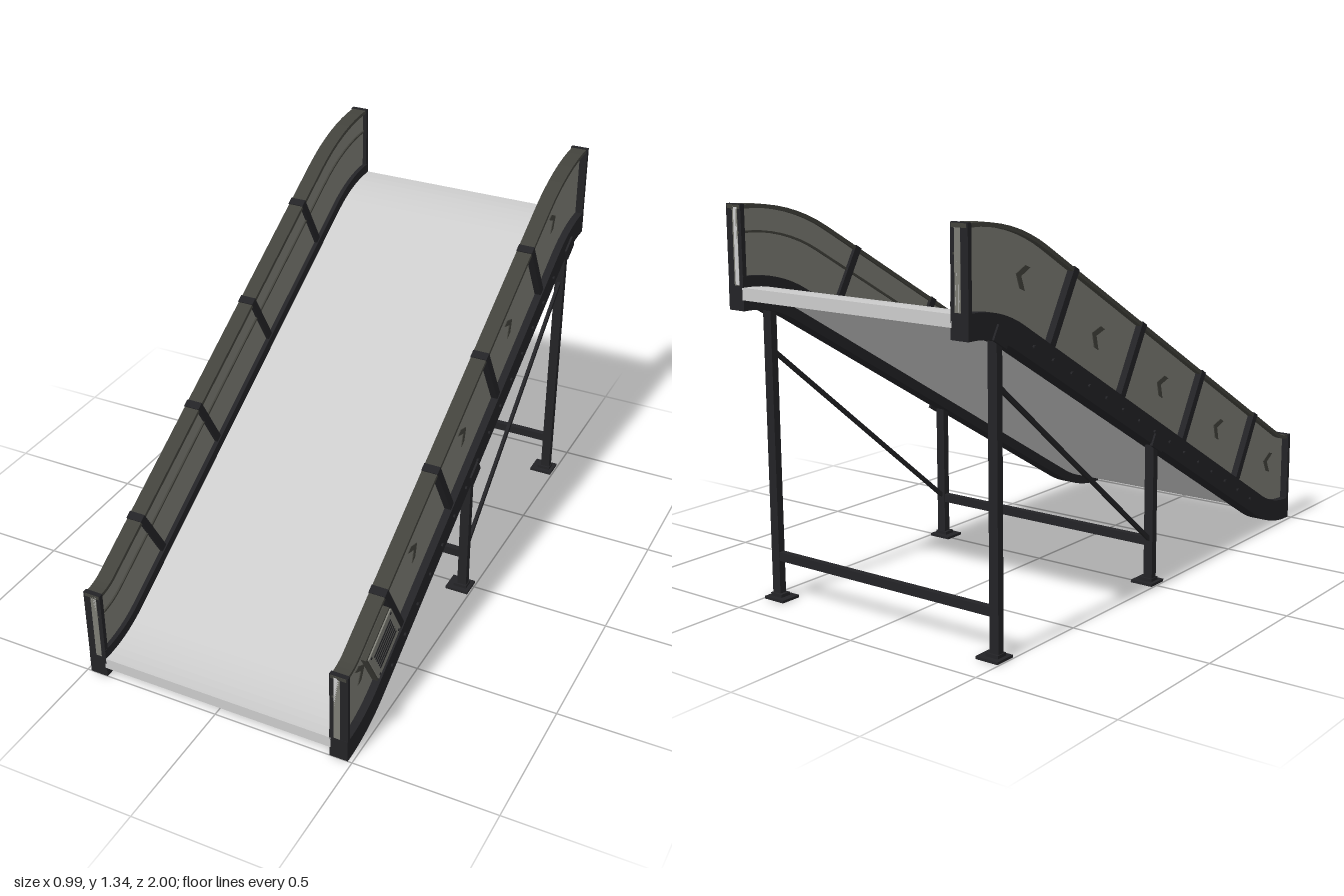
import * as THREE from 'three';

const mat = (color) => new THREE.MeshStandardMaterial({ color, flatShading: true });
const GREY = mat(0xcccccc), BLACK = mat(0x232326), PANEL = mat(0x7c7c74), TRIM = mat(0x42423c);
const SLOPE = Math.PI / 6, HEIGHT = 0.335;

// Lower edge of the side wall as [u, y, angle]; u runs up the incline (u = -z)
const path = [[-1, 0, 0]];
for (let i = 0; i <= 8; i++) {
  const a = SLOPE * i / 8;
  path.push([-0.99 + 0.5 * Math.sin(a), 0.5 - 0.5 * Math.cos(a), a]);
}
for (let i = 8; i >= 0; i--) {
  const a = SLOPE * i / 8;
  path.push([0.985 - 0.41 * Math.sin(a), 0.59 + 0.41 * Math.cos(a), a]);
}
path.push([1, 1, 0]);

const offset = ([u, y, a], n) => new THREE.Vector2(u - n * Math.sin(a), y + n * Math.cos(a));

// Point on the straight incline at base position u and distance n above the lower edge
const onIncline = (u, n) => offset([u, 0.495 + u * Math.tan(SLOPE), SLOPE], n);

function add(parent, name, geometry, material) {
  const mesh = new THREE.Mesh(geometry, material);
  mesh.name = name;
  parent.add(mesh);
  return mesh;
}

function box(parent, name, material, size, pos, tilt = 0) {
  const mesh = add(parent, name, new THREE.BoxGeometry(...size), material);
  mesh.position.set(...pos);
  mesh.rotation.x = tilt;
  return mesh;
}

// Band following the path between offsets n0..n1 and widths x0..x1
function band(parent, name, material, x0, x1, n0, n1) {
  const outline = [...path.map(p => offset(p, n0)), ...path.map(p => offset(p, n1)).reverse()];
  const g = new THREE.ExtrudeGeometry(new THREE.Shape(outline), { depth: x1 - x0, bevelEnabled: false });
  g.translate(0, 0, x0).rotateY(Math.PI / 2);
  return add(parent, name, g, material);
}

// Flat arrow pointing up the incline
function chevron(parent, x, u, y, tilt, side) {
  const s = new THREE.Shape([[-0.03, 0.036], [-0.004, 0.036], [0.03, 0], [-0.004, -0.036],
    [-0.03, -0.036], [0.004, 0]].map(p => new THREE.Vector2(...p)));
  const g = new THREE.ExtrudeGeometry(s, { depth: 0.003, bevelEnabled: false });
  g.rotateZ(tilt).rotateY(Math.PI / 2);
  add(parent, 'directionArrow', g, TRIM).position.set(side > 0 ? x : -x - 0.003, y, -u);
}

function createSide(side) {
  const g = new THREE.Group();
  g.name = side > 0 ? 'leftWall' : 'rightWall';
  const strip = (name, m, x0, x1, n0, n1) =>
    side > 0 ? band(g, name, m, x0, x1, n0, n1) : band(g, name, m, -x1, -x0, n0, n1);

  strip('bottomRail', BLACK, 0.42, 0.485, 0, 0.08);
  strip('innerSkirt', BLACK, 0.42, 0.436, 0.08, 0.11);
  strip('wallPanel', PANEL, 0.436, 0.458, 0.08, 0.322);
  strip('innerLedge', TRIM, 0.43, 0.436, 0.245, 0.252);
  strip('topCap', TRIM, 0.425, 0.48, 0.322, HEIGHT);

  // Joint ribs between panels
  for (let i = 0; i < 4; i++) {
    const u = -0.55 + i * 0.393;
    const p = onIncline(u, 0.21);
    box(g, 'jointRib', BLACK, [0.058, 0.256, 0.028], [side * 0.453, p.y, -p.x], SLOPE);
  }

  // End posts with a pale panel edge
  for (const [z, y] of [[0.991, 0], [-0.991, 1]]) {
    box(g, 'endPost', BLACK, [0.064, 0.335, 0.016], [side * 0.453, y + 0.1695, z]);
    box(g, 'panelEdge', GREY, [0.016, 0.245, 0.002], [side * 0.445, y + 0.205, z + Math.sign(z) * 0.008]);
  }

  // Direction arrows, one per panel
  for (let i = 0; i < 3; i++) {
    const p = onIncline(-0.365 + i * 0.393, 0.205);
    chevron(g, 0.458, p.x, p.y, SLOPE, side);
  }
  chevron(g, 0.458, 0.716, 1.153, 0.4, side);
  chevron(g, 0.458, -0.86, 0.25, 0.3, side);

  // Rail bolts
  for (let i = 0; i < 15; i++) {
    const p = onIncline(-0.66 + i * 0.098, 0.04);
    const bolt = add(g, 'railBolt', new THREE.CylinderGeometry(0.006, 0.006, 0.008, 6), BLACK);
    bolt.rotation.z = Math.PI / 2;
    bolt.position.set(side * 0.488, p.y, -p.x);
  }
  return g;
}

// Louvred box on the outside of one wall
function createVent() {
  const g = new THREE.Group();
  g.name = 'ventBox';
  box(g, 'ventPlate', TRIM, [0.02, 0.17, 0.2], [0, 0, 0]);
  box(g, 'ventCover', PANEL, [0.026, 0.155, 0.185], [0.002, 0, 0]);
  for (let i = 0; i < 6; i++) {
    box(g, 'ventSlot', BLACK, [0.004, 0.008, 0.135], [0.015, -0.045 + i * 0.018, 0]);
  }
  for (const y of [-0.066, 0.066]) for (const z of [-0.08, 0.08]) {
    box(g, 'ventScrew', BLACK, [0.004, 0.008, 0.008], [0.015, y, z]);
  }
  g.position.set(0.468, 0.273, 0.727);
  g.rotation.x = SLOPE;
  return g;
}

function createStand() {
  const g = new THREE.Group();
  g.name = 'stand';
  const legs = [['frontLeg', 0.015, 0.51], ['backLeg', -0.85, 1.0]];
  for (const [name, z, h] of legs) {
    for (const side of [-1, 1]) {
      box(g, name, BLACK, [0.034, h, 0.026], [side * 0.462, h / 2, z]);
      box(g, 'footPlate', BLACK, [0.085, 0.009, 0.076], [side * 0.452, 0.0045, z]);
      box(g, 'footCollar', BLACK, [0.048, 0.012, 0.04], [side * 0.458, 0.014, z]);
      box(g, 'legBracket', BLACK, [0.01, 0.05, 0.07], [side * 0.487, h - 0.005, z], SLOPE);
    }
    box(g, 'crossBar', BLACK, [0.9, 0.03, 0.022], [0, 0.15, z]);
  }
  // Diagonal braces
  const dz = -0.85, dy = 0.69;
  for (const side of [-1, 1]) {
    box(g, 'diagonalBrace', BLACK, [0.012, 0.014, Math.hypot(dz, dy)],
      [side * 0.462, 0.505, -0.42], Math.atan2(dy, -dz));
  }
  return g;
}

export function createModel() {
  const model = new THREE.Group();
  model.name = 'inclinedConveyor';
  band(model, 'belt', GREY, -0.425, 0.425, 0.035, 0.075);
  model.add(createSide(1), createSide(-1), createVent(), createStand());
  return model;
}
